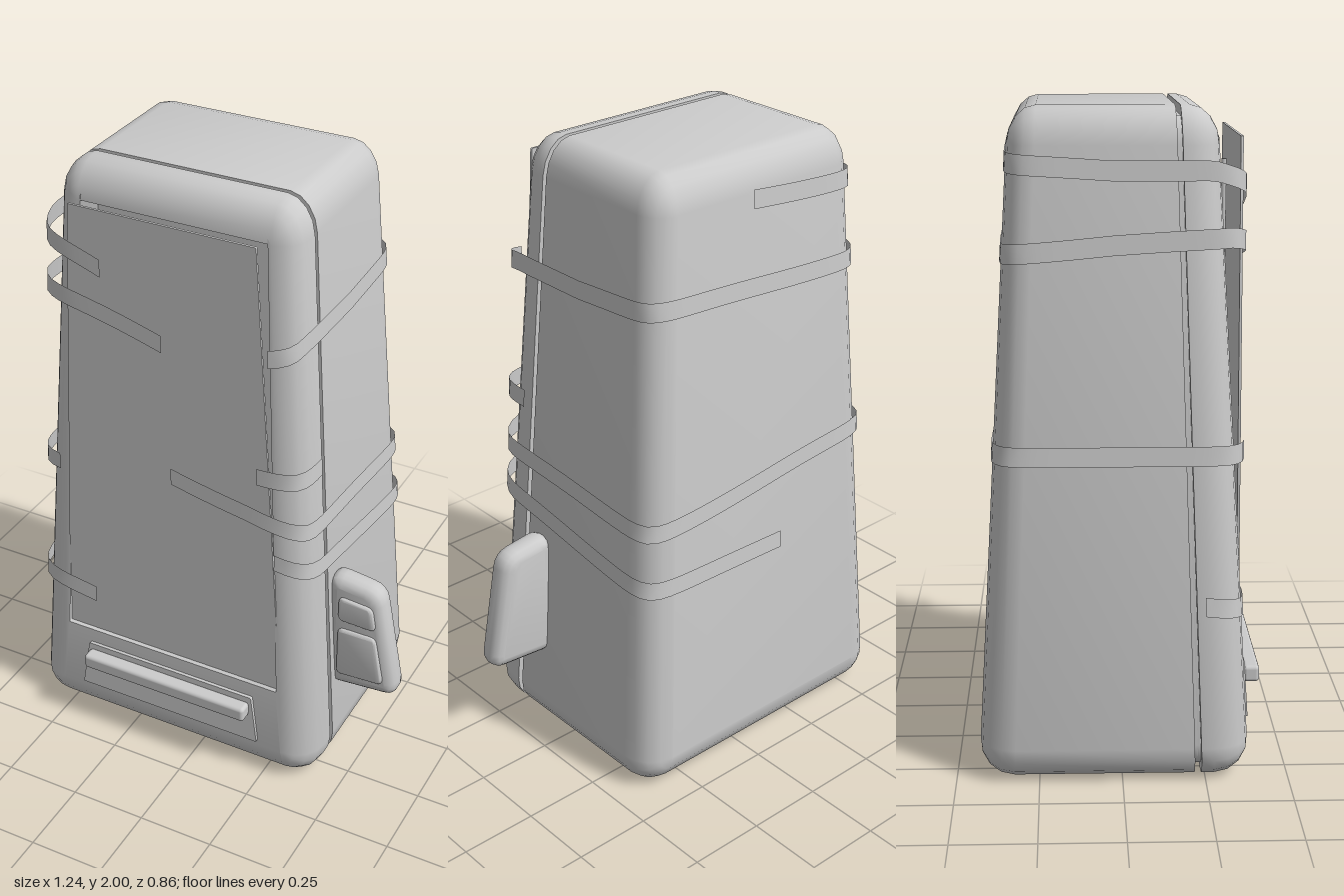
import * as THREE from 'three';
import { toCreasedNormals } from 'three/addons/utils/BufferGeometryUtils.js';
import { RoundedBoxGeometry } from 'three/addons/geometries/RoundedBoxGeometry.js';

const grey = new THREE.MeshStandardMaterial({ color: 0xcccccc });
const greyThin = new THREE.MeshStandardMaterial({ color: 0xcccccc, side: THREE.DoubleSide });
const CX = -0.1, CZ = -0.024, HX = 0.532, HZ = 0.411, R = 0.11;
const taper = y => 1 - 0.133 * y;
const warp = (x, y, z) => [CX + x * taper(y), y, CZ + z * taper(y)];

// Rounded rectangle loop, counter-clockwise seen from the front, with the body taper applied
function loop(w, y0, y1, r, z) {
  const pts = [], n = 4;
  const corners = [[w - r, y0 + r, -1], [w - r, y1 - r, 0], [-w + r, y1 - r, 1], [-w + r, y0 + r, 2]];
  for (const [x, y, q] of corners) for (let i = 0; i <= n; i++) {
    const a = (q + i / n) * Math.PI / 2;
    pts.push(warp(x + r * Math.cos(a), y + r * Math.sin(a), z));
  }
  return pts;
}
const outer = (inset, z) => loop(HX - inset, inset, 2 - inset, Math.max(R - inset, 0.004), z);

// Skin a list of loops and close both ends
function loft(loops) {
  const n = loops[0].length, pos = loops.flat(2), idx = [];
  for (let i = 0; i < loops.length - 1; i++) for (let j = 0; j < n; j++) {
    const a = i * n + j, b = i * n + (j + 1) % n;
    idx.push(a, b, b + n, a, b + n, a + n);
  }
  const last = (loops.length - 1) * n;
  for (let j = 1; j < n - 1; j++) idx.push(0, j + 1, j, last, last + j, last + j + 1);
  const g = new THREE.BufferGeometry();
  g.setAttribute('position', new THREE.Float32BufferAttribute(pos, 3));
  g.setIndex(idx);
  return toCreasedNormals(g, 0.7);
}

// Quarter-round edge loops from flat end (dir -1 back, +1 front)
function edge(dir) {
  const out = [];
  for (let i = 0; i <= 4; i++) {
    const a = i / 4 * Math.PI / 2;
    out.push(outer(R * (1 - Math.cos(a)), dir * (HZ - R + R * Math.sin(a))));
  }
  return out;
}

// Polygon with softened corners
function softShape(p, r) {
  const s = new THREE.Shape(), v = p.map(q => new THREE.Vector2(...q));
  v.forEach((c, i) => {
    const step = q => c.clone().add(q.clone().sub(c).setLength(r));
    const a = step(v[(i + v.length - 1) % v.length]), b = step(v[(i + 1) % v.length]);
    if (i) s.lineTo(a.x, a.y); else s.moveTo(a.x, a.y);
    s.quadraticCurveTo(c.x, c.y, b.x, b.y);
  });
  s.closePath();
  return s;
}
function slab(points, r, depth, bevel) {
  const g = new THREE.ExtrudeGeometry(softShape(points, r), {
    depth: depth - 2 * bevel, bevelEnabled: bevel > 0, bevelSize: bevel, bevelThickness: bevel,
    bevelOffset: -bevel, bevelSegments: 3, curveSegments: 4
  });
  g.translate(0, 0, bevel);
  return toCreasedNormals(g, 0.7);
}

// Thin strap wound round the body; keys are [degrees from front towards +x, height]
function strap(keys, width) {
  const pos = [], idx = [];
  const first = keys[0][0], end = keys[keys.length - 1][0];
  const n = Math.max(8, Math.ceil(Math.abs(end - first) / 3));
  for (let i = 0; i <= n; i++) {
    const d = first + (end - first) * i / n;
    let k = 0;
    while (k < keys.length - 2 && Math.abs(d - first) > Math.abs(keys[k + 1][0] - first)) k++;
    const [[d0, y0], [d1, y1]] = [keys[k], keys[k + 1]];
    const mid = THREE.MathUtils.lerp(y0, y1, (d - d0) / (d1 - d0));
    for (const y of [mid - width / 2, mid + width / 2]) {
      const a = THREE.MathUtils.degToRad(d), s = Math.sin(a), c = Math.cos(a);
      const hz = c > 0 ? Math.max(0.39 / taper(y), HZ + 0.01) : HZ + 0.008;
      const r = (Math.abs(s / (HX + 0.016)) ** 10 + Math.abs(c / hz) ** 10) ** -0.1;
      pos.push(...warp(s * r, y, c * r));
    }
    if (i) { const b = 2 * i; idx.push(b - 2, b, b + 1, b - 2, b + 1, b - 1); }
  }
  const g = new THREE.BufferGeometry();
  g.setAttribute('position', new THREE.Float32BufferAttribute(pos, 3));
  g.setIndex(idx);
  g.computeVertexNormals();
  return g;
}

export function createModel() {
  const model = new THREE.Group();
  const add = (name, geo, x = 0, y = 0, z = 0, mat = grey) => {
    const m = new THREE.Mesh(geo, mat);
    m.name = name;
    m.position.set(x, y, z);
    model.add(m);
    return m;
  };

  // Rear shell, stepped inwards at the seam
  add('rearShell', loft([...edge(-1).reverse(), outer(0, 0.243), outer(0.03, 0.243), outer(0.03, 0.253)]));

  // Front shell with a tall window opening
  const hole = z => loop(0.408, 0.35, 1.91, 0.004, z);
  add('frontShell', loft([outer(0.03, 0.253), outer(0.03, 0.263), outer(0, 0.263),
    ...edge(1), hole(HZ), hole(0.275)]));

  // Upright window cover
  add('windowCover', slab([[-0.495, 0.352], [0.295, 0.352], [0.205, 1.91], [-0.405, 1.91]], 0.004, 0.008, 0), 0, 0, 0.346);

  // Pendulum behind the cover
  add('pendulumRod', new THREE.CylinderGeometry(0.008, 0.008, 1.4, 8), CX, 1.12, 0.325);
  add('pendulumWeight', new RoundedBoxGeometry(0.13, 0.13, 0.06, 2, 0.01), 0.005, 1.5, 0.303);

  // Lower plate and its grip bar
  const plate = add('lowerPlate', slab([[-0.43, 0], [0.23, 0], [0.205, 0.17], [-0.405, 0.17]], 0.004, 0.02, 0), 0, 0.13, 0.372);
  plate.rotation.x = -0.055;
  add('gripBar', new RoundedBoxGeometry(0.6, 0.052, 0.05, 3, 0.012), CX, 0.257, 0.405);

  // Side key with two raised pads
  add('sideKey', slab([[0.37, 0.725], [0.552, 0.7], [0.625, 0.305], [0.37, 0.285]], 0.05, 0.09, 0.035), 0, 0, 0.088);
  add('upperKeyPad', slab([[0.415, 0.655], [0.53, 0.645], [0.545, 0.56], [0.415, 0.565]], 0.02, 0.025, 0.008), 0, 0, 0.165);
  add('lowerKeyPad', slab([[0.415, 0.53], [0.545, 0.53], [0.578, 0.355], [0.415, 0.345]], 0.02, 0.025, 0.008), 0, 0, 0.165);

  // Straps
  const straps = {
    upperStrap: [[0, 1.53], [-50, 1.63], [-90, 1.61], [-130, 1.58], [-230, 1.62], [-270, 1.6], [-305, 1.6], [-318, 1.57]],
    topStrap: [[-27, 1.73], [-55, 1.82], [-90, 1.82], [-130, 1.84], [-185, 1.87]],
    middleStrap: [[3, 1.07], [35, 1.02], [55, 0.97], [90, 0.95], [128, 0.92], [180, 0.96], [230, 1], [315, 1]],
    lowerStrap: [[44, 0.86], [58, 0.82], [128, 0.73], [190, 0.72]],
    shortRightStrap: [[39, 1.16], [62, 1.16]],
    shortLeftStrap: [[-62, 0.55], [-35, 0.51]]
  };
  for (const [name, keys] of Object.entries(straps)) add(name, strap(keys, 0.058), 0, 0, 0, greyThin);

  return model;
}
